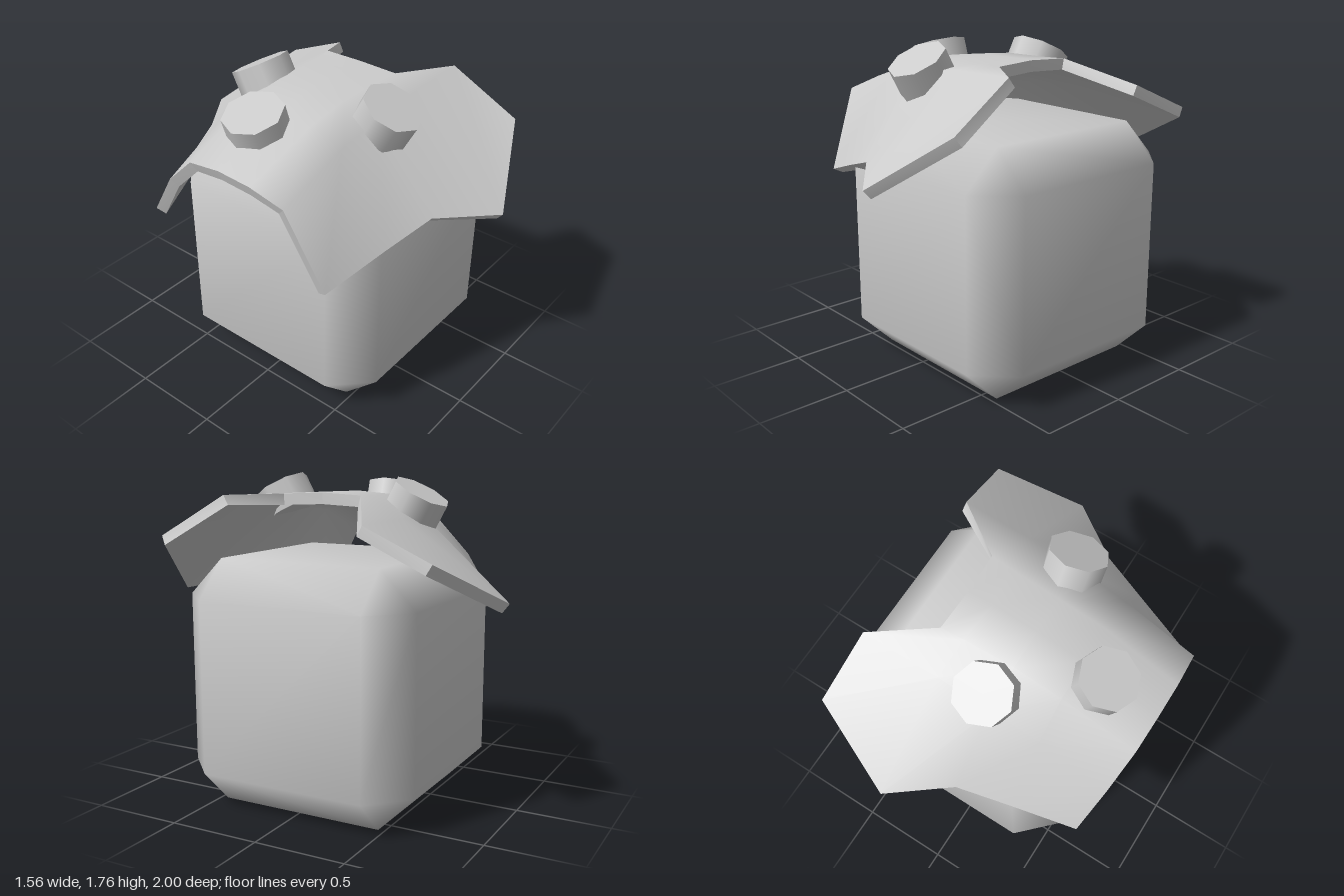
import * as THREE from 'three';
import { mergeVertices } from 'three/addons/utils/BufferGeometryUtils.js';
import { ConvexGeometry } from 'three/addons/geometries/ConvexGeometry.js';

const material = new THREE.MeshStandardMaterial({ color: 0xcccccc });

// Cube with single-cut bevels and soft normals
function bevelledCube(half, bevel) {
  const points = [];
  const inner = half - bevel;
  for (const sx of [-1, 1]) for (const sy of [-1, 1]) for (const sz of [-1, 1]) {
    for (let axis = 0; axis < 3; axis++) {
      const c = [inner, inner, inner];
      c[axis] = half;
      points.push(new THREE.Vector3(c[0] * sx, c[1] * sy, c[2] * sz));
    }
  }
  const hull = new ConvexGeometry(points);
  hull.deleteAttribute('normal');
  const geometry = mergeVertices(hull, 1e-4);
  geometry.computeVertexNormals();
  return geometry;
}

// Thick sheet through columns of [x, y, z] points, with a hard-edged rim
function thickSheet(columns, thickness) {
  const rows = columns[0].length;
  const count = columns.length * rows;
  const top = columns.flat(2);
  const topFaces = [];
  for (let i = 0; i < columns.length - 1; i++) {
    for (let j = 0; j < rows - 1; j++) {
      const a = i * rows + j, b = a + 1, c = a + rows, d = c + 1;
      topFaces.push(a, b, c, b, d, c);
    }
  }
  const surface = new THREE.BufferGeometry();
  surface.setAttribute('position', new THREE.Float32BufferAttribute(top, 3));
  surface.setIndex(topFaces);
  surface.computeVertexNormals();
  const normals = surface.attributes.normal.array;

  // Underside, offset along the normals
  const positions = [...top, ...top.map((v, k) => v - normals[k] * thickness)];
  const faces = [...topFaces];
  for (let k = 0; k < topFaces.length; k += 3) {
    faces.push(topFaces[k] + count, topFaces[k + 2] + count, topFaces[k + 1] + count);
  }

  // Rim around the border
  const border = [];
  const last = columns.length - 1;
  for (let j = 0; j < rows - 1; j++) border.push(j);
  for (let i = 0; i < last; i++) border.push(i * rows + rows - 1);
  for (let j = rows - 1; j > 0; j--) border.push(last * rows + j);
  for (let i = last; i > 0; i--) border.push(i * rows);
  border.forEach((a, k) => {
    const b = border[(k + 1) % border.length];
    const start = positions.length / 3;
    for (const v of [a, b, b + count, a + count]) {
      positions.push(...positions.slice(v * 3, v * 3 + 3));
    }
    faces.push(start, start + 2, start + 1, start, start + 3, start + 2);
  });

  const geometry = new THREE.BufferGeometry();
  geometry.setAttribute('position', new THREE.Float32BufferAttribute(positions, 3));
  geometry.setIndex(faces);
  geometry.computeVertexNormals();
  return geometry;
}

export function createModel() {
  const group = new THREE.Group();
  const add = (name, geometry) => {
    const mesh = new THREE.Mesh(geometry, material);
    mesh.name = name;
    group.add(mesh);
    return mesh;
  };

  add('body', bevelledCube(0.665, 0.2)).position.set(0.115, 0.665, 0);

  // Cap columns from the left edge to the notched edge, each running back to front
  const cap = [
    [[-0.7, 0.99, -0.59], [-0.745, 1.27, -0.4], [-0.775, 1.46, -0.2], [-0.78, 1.49, 0],
      [-0.78, 1.48, 0.2], [-0.77, 1.43, 0.4], [-0.7, 0.99, 0.59]],
    [[-0.35, 1.1, -0.69], [-0.35, 1.45, -0.41], [-0.35, 1.61, -0.21], [-0.35, 1.63, 0],
      [-0.35, 1.62, 0.21], [-0.35, 1.57, 0.41], [-0.35, 1.1, 0.69]],
    [[-0.08, 1.18, -0.77], [-0.08, 1.52, -0.42], [-0.08, 1.65, -0.21], [-0.08, 1.665, 0],
      [-0.08, 1.655, 0.21], [-0.08, 1.62, 0.42], [-0.08, 1.18, 0.77]],
    [[0.23, 1.15, -1], [0.23, 1.54, -0.42], [0.2, 1.655, -0.22], [0.18, 1.67, 0],
      [0.2, 1.66, 0.22], [0.23, 1.65, 0.42], [0.23, 1.14, 1]],
    [[0.7, 1.38, -0.79], [0.68, 1.54, -0.42], [0.33, 1.66, -0.23], [0.32, 1.67, 0],
      [0.33, 1.66, 0.23], [0.61, 1.66, 0.42], [0.66, 1.44, 0.79]],
  ];
  add('cap', thickSheet(cap, 0.06));

  // Eight-sided spots: centre of the top face, outward axis, height
  const spots = [
    ['frontSpot', [-0.03, 1.685, 0.475], [0, 0.87, 0.48], 0.16],
    ['backSpot', [-0.03, 1.67, -0.41], [0, 0.88, -0.47], 0.16],
    ['sideSpot', [-0.5, 1.68, -0.025], [-0.31, 0.95, 0], 0.13],
  ];
  const up = new THREE.Vector3(0, 1, 0);
  for (const [name, centre, direction, height] of spots) {
    const geometry = new THREE.CylinderGeometry(0.162, 0.162, height, 8);
    geometry.translate(0, -height / 2, 0);
    const spot = add(name, geometry);
    spot.position.set(...centre);
    spot.quaternion.setFromUnitVectors(up, new THREE.Vector3(...direction).normalize());
  }
  return group;
}
